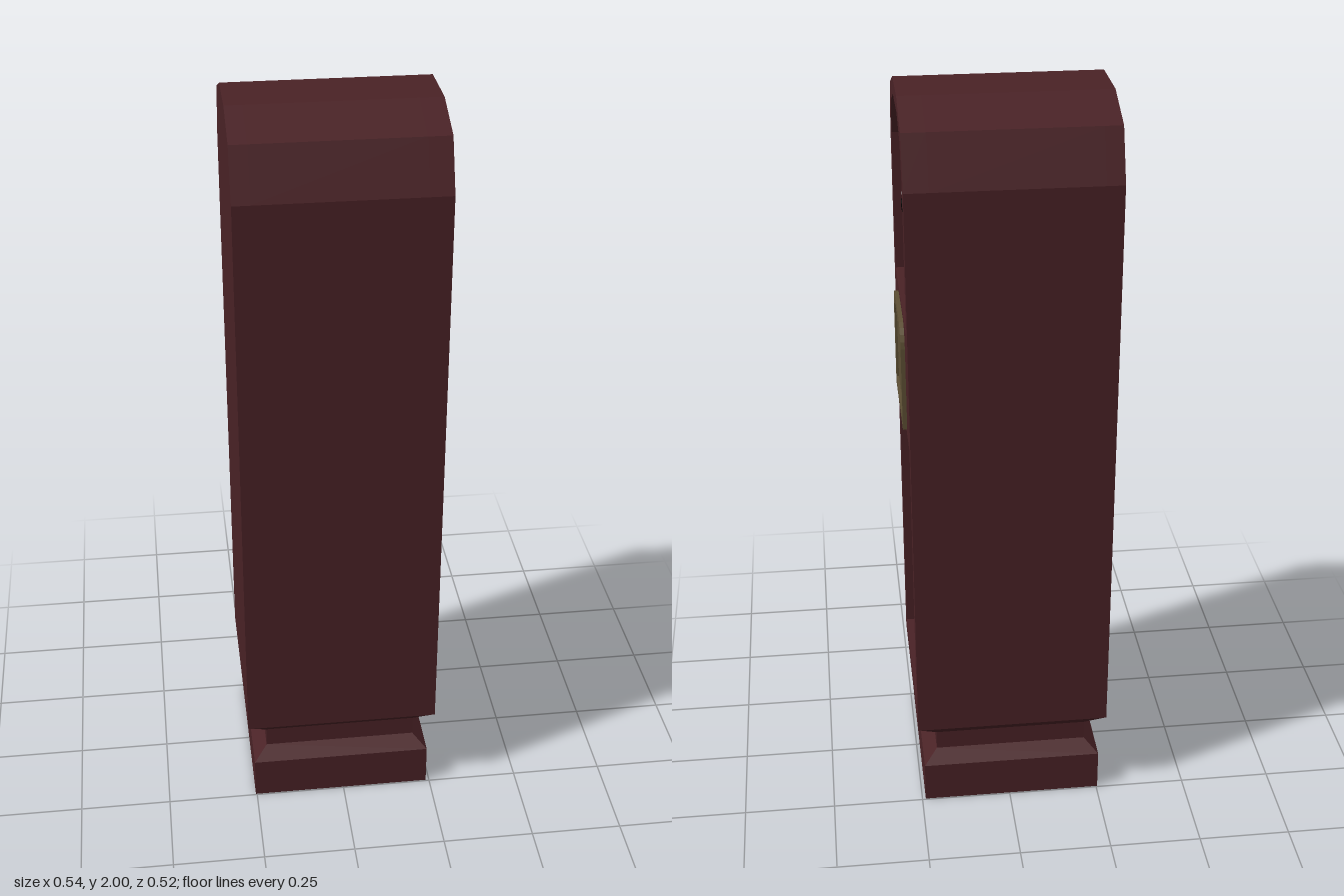
import * as THREE from 'three';

const paint = (color) => new THREE.MeshStandardMaterial({ color, flatShading: true });
const wood = paint(0x4a2226), pink = paint(0xe8bdb0), grey = paint(0xcccccc);
const bronze = paint(0x5e5035), brass = paint(0xe4d242), black = paint(0x000000);

const BACK = -0.27, FRONT = 0.257, MID = (BACK + FRONT) / 2;

// Mirrored outline: flat bottom edge, then the right-hand points from bottom to top
function outline(right, Type = THREE.Shape) {
  const pts = right.map(([x, y]) => new THREE.Vector2(x, y));
  const left = right.map(([x, y]) => new THREE.Vector2(-x, y)).reverse();
  return new Type([...pts, ...left]);
}

// Rounded-top panel outline
function plaqueOutline(w, y0, y1, r) {
  const pts = [[w, y0]];
  for (let i = 0; i <= 5; i++) {
    const a = (i / 5) * Math.PI / 2;
    pts.push([w - r + r * Math.cos(a), y1 - r + r * Math.sin(a)]);
  }
  return outline(pts);
}

export function createModel() {
  const model = new THREE.Group();
  model.name = 'longcaseClock';
  const clock = new THREE.Group();
  clock.name = 'clock';
  clock.rotation.y = Math.PI / 2; // the dial looks along +x
  model.add(clock);

  const add = (name, geometry, material, x = 0, y = 0, z = 0) => {
    const mesh = new THREE.Mesh(geometry, material);
    mesh.name = name;
    mesh.position.set(x, y, z);
    clock.add(mesh);
    return mesh;
  };
  const slab = (name, shape, z0, z1, material, holes = []) => {
    shape.holes.push(...holes);
    return add(name, new THREE.ExtrudeGeometry(shape, { depth: z1 - z0, bevelEnabled: false }), material, 0, 0, z0);
  };
  const disc = (name, r, y, z0, z1, sides, material) => {
    const g = new THREE.CylinderGeometry(r, r, z1 - z0, sides).rotateX(Math.PI / 2);
    return add(name, g, material, 0, y, (z0 + z1) / 2);
  };

  // Case: solid back, hollow middle, front frame with two openings
  const caseShape = () => outline([[0.262, 0.255], [0.262, 1.82], [0.21, 1.95], [0.083, 2]]);
  const lowerHole = () => outline([[0.22, 0.3], [0.22, 1.117]], THREE.Path);
  const dialOutline = [[0.217, 1.44], [0.217, 1.815], [0.176, 1.915], [0.075, 1.958]];
  const dialZ = FRONT - 0.06;
  slab('caseBack', caseShape(), BACK, BACK + 0.045, wood);
  slab('caseMiddle', caseShape(), BACK + 0.045, dialZ, wood, [lowerHole()]);
  slab('caseFront', caseShape(), dialZ, FRONT, wood, [lowerHole(), outline(dialOutline, THREE.Path)]);

  // Stepped square plinth
  const plinth = [[0, 0], [0.247, 0], [0.247, 0.117], [0.21, 0.15], [0.21, 0.205], [0.262, 0.256], [0, 0.256]]
    .map(([r, y]) => new THREE.Vector2(r * Math.SQRT2, y));
  add('plinth', new THREE.LatheGeometry(plinth, 4, Math.PI / 4).toNonIndexed(), wood, 0, 0, MID);

  // Dial
  slab('dialPanel', outline(dialOutline), dialZ - 0.01, dialZ + 0.002, pink);
  disc('dial', 0.179, 1.643, dialZ, FRONT - 0.02, 24, grey);

  // Hands, swelling slightly towards the tips
  const hands = [
    ['hourHand', [[0, 1.625], [0.03, 1.668], [0.055, 1.697], [0.1, 1.737], [0.096, 1.724], [0.06, 1.7].map((v, i) => v - [0, 0.018][i]), [0.04, 1.66], [0.008, 1.622]]],
    ['minuteHand', [[0.003, 1.623], [-0.045, 1.653], [-0.085, 1.656], [-0.1, 1.645], [-0.113, 1.672], [-0.09, 1.678], [-0.082, 1.67], [-0.038, 1.668], [0.006, 1.638]]],
  ];
  for (const [name, pts] of hands) {
    slab(name, new THREE.Shape(pts.map(([x, y]) => new THREE.Vector2(x, y))), FRONT - 0.02, FRONT - 0.014, black);
  }

  // Plaque with a raised rim
  slab('plaque', plaqueOutline(0.143, 1.137, 1.425, 0.06), FRONT - 0.005, FRONT + 0.005, bronze);
  slab('plaqueRim', plaqueOutline(0.143, 1.137, 1.425, 0.06), FRONT + 0.005, FRONT + 0.011, bronze,
    [plaqueOutline(0.115, 1.165, 1.397, 0.045)]);

  // Pendulum
  add('pendulumRod', new THREE.BoxGeometry(0.04, 0.577, 0.034), brass, 0, 0.8285, FRONT - 0.103);
  disc('pendulumBob', 0.066, 0.54, FRONT - 0.096, FRONT - 0.066, 24, brass);

  return model;
}
